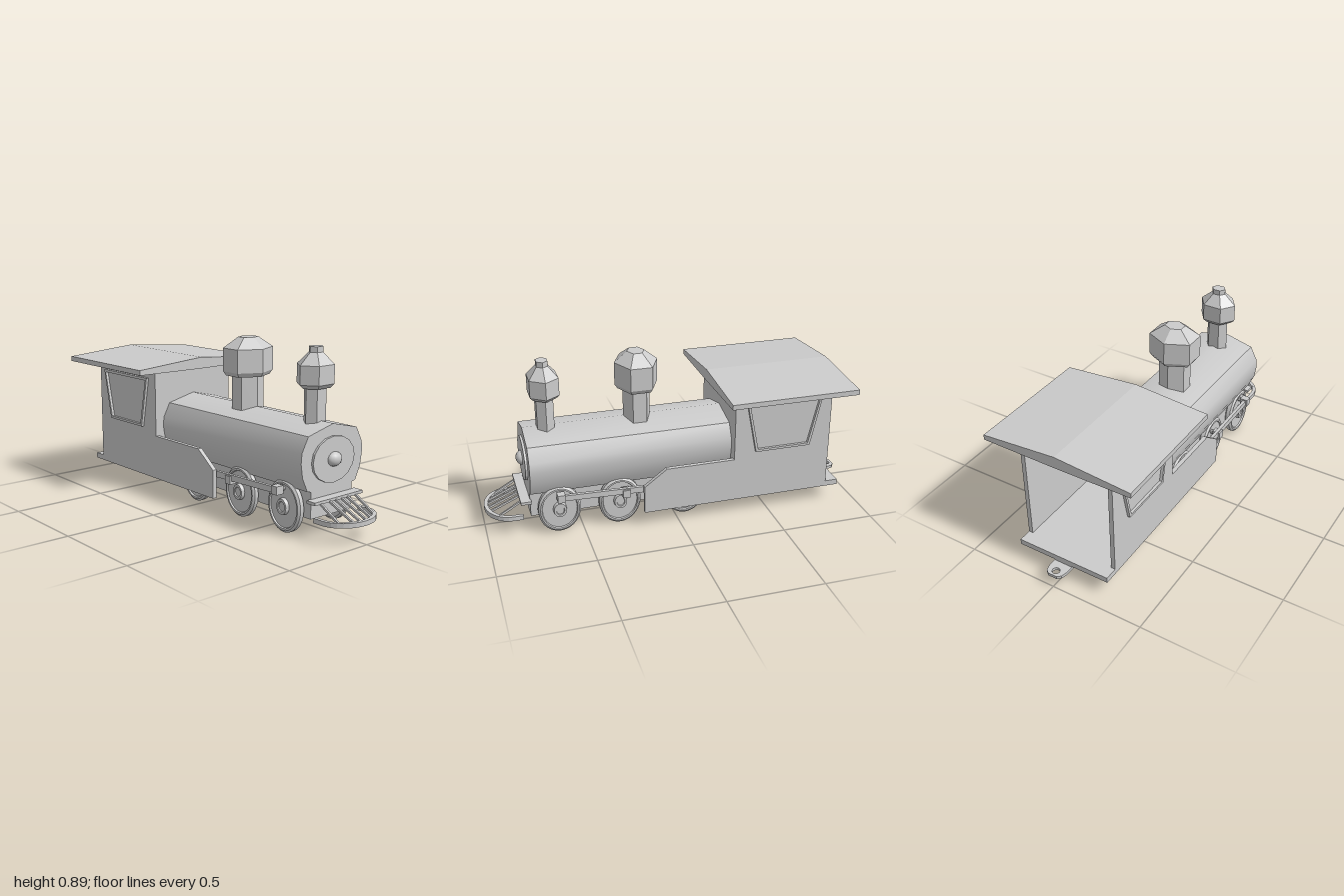
import * as THREE from 'three';
import { toCreasedNormals } from 'three/addons/utils/BufferGeometryUtils.js';

const grey = new THREE.MeshStandardMaterial({ color: 0xcccccc });
const flat = new THREE.MeshStandardMaterial({ color: 0xcccccc, flatShading: true });

const shapeOf = (pts) => new THREE.Shape(pts.map(([x, y]) => new THREE.Vector2(x, y)));
const extrude = (shape, depth) =>
  new THREE.ExtrudeGeometry(shape, { depth, bevelEnabled: false, curveSegments: 12 });

export function createModel() {
  const root = new THREE.Group();
  root.name = 'locomotive';

  const add = (name, geo, mat = flat) => {
    const mesh = new THREE.Mesh(geo, mat);
    mesh.name = name;
    root.add(mesh);
    return mesh;
  };
  // box given by its lower and upper corners
  const box = (name, [x0, y0, z0], [x1, y1, z1]) =>
    add(name, new THREE.BoxGeometry(x1 - x0, y1 - y0, z1 - z0)
      .translate((x0 + x1) / 2, (y0 + y1) / 2, (z0 + z1) / 2));
  // prism along x from a (z, y) outline that is symmetric about z = 0
  const alongX = (pts, x0, x1) =>
    extrude(shapeOf(pts), x1 - x0).rotateY(Math.PI / 2).translate(x0, 0, 0);
  // mirrors the right half of an outline listed from top centre to bottom centre
  const mirrored = (half) =>
    [...half, ...half.slice().reverse().filter(([z]) => z > 0).map(([z, y]) => [-z, y])];
  const lathe = (pts, segments, phi = 0) =>
    new THREE.LatheGeometry(pts.map(([r, y]) => new THREE.Vector2(r, y)), segments, phi);

  // Cab: floor, front wall and gabled roof, open at the back
  box('cabFloor', [-0.91, 0.09, -0.26], [-0.3, 0.12, 0.26]);
  box('cabFrontWall', [-0.325, 0.09, -0.24], [-0.3, 0.69, 0.24]);
  add('roof', alongX(mirrored([[0, 0.75], [0.41, 0.717], [0.41, 0.69], [0, 0.687]]), -0.915, -0.225));

  // Cab sides continuing forward as skirts, with raised window frames
  const side = shapeOf([[-0.84, 0.09], [0.19, 0.09], [0.19, 0.24], [0.07, 0.33],
    [-0.3, 0.33], [-0.3, 0.69], [-0.84, 0.69]]);
  const frame = shapeOf([[-0.72, 0.367], [-0.415, 0.367], [-0.36, 0.645], [-0.78, 0.645]]);
  frame.holes.push(shapeOf([[-0.708, 0.38], [-0.765, 0.63], [-0.375, 0.63], [-0.427, 0.38]]));
  for (const s of [1, -1]) {
    add('cabSide', extrude(side, 0.023).translate(0, 0, s > 0 ? 0.237 : -0.26));
    add('windowFrame', extrude(frame, 0.015).translate(0, 0, s > 0 ? 0.26 : -0.275));
  }

  // Boiler, front plate and knob
  const boiler = mirrored([[0, 0.545], [0.165, 0.505], [0.205, 0.43], [0.209, 0.38],
    [0.198, 0.31], [0.165, 0.24], [0, 0.2]]);
  add('boiler', toCreasedNormals(alongX(boiler, -0.3, 0.77), 0.7), grey);
  add('frontPlate', new THREE.CylinderGeometry(1, 1, 1, 16)
    .rotateZ(Math.PI / 2).scale(0.014, 0.114, 0.142).translate(0.775, 0.373, 0));
  add('frontKnob', new THREE.SphereGeometry(1, 14, 10)
    .scale(0.032, 0.036, 0.045).translate(0.78, 0.375, 0), grey);

  // Underframe between the wheels
  box('underframe', [-0.3, 0.1, -0.14], [0.77, 0.25, 0.14]);

  // Steam dome and chimney: six-sided stems with wide heads
  add('steamDome', lathe([[0.073, 0.5], [0.073, 0.7], [0.1, 0.702], [0.115, 0.725],
    [0.115, 0.845], [0.046, 0.9], [0, 0.9]], 6, Math.PI / 2)
    .scale(1, 1, 1.22).translate(0.162, 0, 0));
  add('chimney', lathe([[0.062, 0.5], [0.062, 0.7], [0.082, 0.702], [0.105, 0.722],
    [0.105, 0.815], [0.04, 0.872], [0.04, 0.9], [0, 0.9]], 6)
    .scale(0.82, 1, 1).translate(0.648, 0, 0));

  // Wheels with raised rims and hubs, plus the coupling rods
  const wheel = [[0, -0.02], [0.102, -0.02], [0.112, -0.011], [0.112, 0.011], [0.102, 0.021],
    [0.094, 0.021], [0.091, 0.013], [0.036, 0.013], [0.033, 0.032], [0.022, 0.032],
    [0.02, 0.026], [0, 0.026]];
  for (const s of [1, -1]) {
    for (const x of [-0.057, 0.302, 0.623]) {
      const geo = lathe(wheel, 28).rotateX(s * Math.PI / 2).scale(1, 1.18, 1);
      add('wheel', toCreasedNormals(geo, 0.5), grey).position.set(x, 0.138, s * 0.161);
    }
    const rod = extrude(shapeOf([[0.11, 0.195], [0.64, 0.212], [0.64, 0.242], [0.11, 0.228]]), 0.018);
    add('couplingRod', rod.translate(0, 0, s > 0 ? 0.212 : -0.23));
    for (const [x, y] of [[0.28, 0.205], [0.62, 0.228]]) {
      add('rodBearing', new THREE.BoxGeometry(0.04, 0.042, 0.045).translate(x, y, s * 0.217));
      add('crankPin', new THREE.CylinderGeometry(0.012, 0.012, 0.06, 8)
        .rotateX(Math.PI / 2).translate(x, y, s * 0.19));
    }
  }

  // Cowcatcher: shelf, curved bottom hoop and sloping bars
  box('cowcatcherShelf', [0.765, 0.183, -0.165], [0.82, 0.198, 0.165]);
  const reach = (z, a, b) => 0.86 + a * Math.sqrt(Math.max(0, 1 - (z / b) ** 2));
  const arc = (a, b, from, to) => Array.from({ length: 17 }, (_, i) => {
    const t = from + (to - from) * i / 16;
    return [0.86 + a * Math.cos(t), b * Math.sin(t)];
  });
  const h = Math.PI / 2;
  const hoop = shapeOf([[0.81, -0.163], ...arc(0.135, 0.163, -h, h), [0.81, 0.163],
    [0.81, 0.143], ...arc(0.115, 0.143, h, -h), [0.81, -0.143]]);
  add('cowcatcherHoop', extrude(hoop, 0.024).rotateX(Math.PI / 2).translate(0, 0.122, 0));
  for (const z of [-0.12, -0.06, -0.02, 0.02, 0.06, 0.12]) {
    const a = new THREE.Vector3(0.8, 0.192, z);
    const b = new THREE.Vector3(reach(z, 0.12, 0.15), 0.115, z);
    const bar = add('cowcatcherBar', new THREE.BoxGeometry(0.011, 0.011, a.distanceTo(b)));
    bar.position.copy(a).lerp(b, 0.5);
    bar.lookAt(b);
  }

  // Rear coupler plate with a hole
  const coupler = shapeOf([[-0.88, -0.052], [-0.88, 0.052], [-0.95, 0.052], [-0.985, 0.043],
    [-1, 0.025], [-1, -0.025], [-0.985, -0.043], [-0.95, -0.052]]);
  coupler.holes.push(new THREE.Path().absarc(-0.968, 0, 0.02, 0, Math.PI * 2));
  add('coupler', extrude(coupler, 0.016).rotateX(Math.PI / 2).translate(0, 0.086, 0));
  box('couplerMount', [-0.91, 0.075, -0.05], [-0.87, 0.095, 0.05]);

  return root;
}
